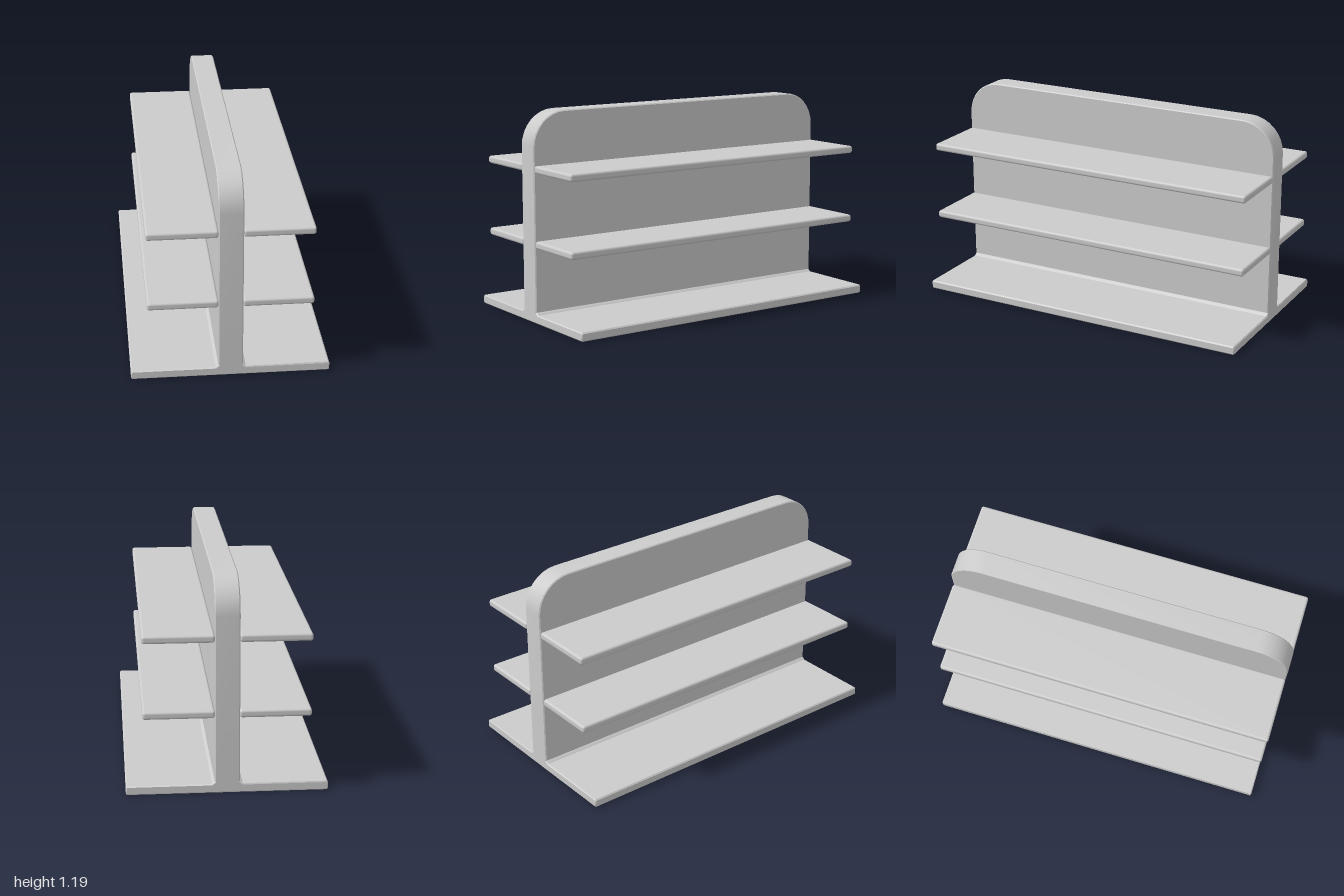
import * as THREE from 'three';
import { RoundedBoxGeometry } from 'three/addons/geometries/RoundedBoxGeometry.js';
import { toCreasedNormals } from 'three/addons/utils/BufferGeometryUtils.js';

const LENGTH = 2, SPINE = 0.068, TOP = 1.19, CORNER = 0.2, BEVEL = 0.006;
const material = new THREE.MeshStandardMaterial({ color: 0xcccccc });

// Extrudes a shape to a total depth, centred on z, with small edge bevels
function bevelled(shape, depth) {
  const geometry = new THREE.ExtrudeGeometry(shape, {
    depth: depth - 2 * BEVEL, bevelThickness: BEVEL, bevelSize: BEVEL,
    bevelOffset: -BEVEL, bevelSegments: 1, curveSegments: 4,
  });
  geometry.translate(0, 0, BEVEL - depth / 2);
  return toCreasedNormals(geometry, 0.6);
}

export function createModel() {
  const group = new THREE.Group();
  const add = (name, geometry, x = 0, y = 0) => {
    const mesh = new THREE.Mesh(geometry, material);
    mesh.name = name;
    mesh.position.set(x, y, 0);
    group.add(mesh);
  };

  // Base plate with softened edges and a small fillet up to the spine
  const half = [[0.543, 0], [0.55, 0.007], [0.55, 0.043], [0.543, 0.05],
    [0.084, 0.05], [0.068, 0.064], [0.05, 0.07]];
  const outline = [...half, ...half.map(([x, y]) => [-x, y]).reverse()];
  add('base', bevelled(new THREE.Shape(outline.map(([x, y]) => new THREE.Vector2(x, y))), LENGTH));

  // Central spine with rounded upper corners
  const end = LENGTH / 2;
  const side = new THREE.Shape();
  side.moveTo(-end, 0.01);
  side.lineTo(end, 0.01);
  side.lineTo(end, TOP - CORNER);
  side.absarc(end - CORNER, TOP - CORNER, CORNER, 0, Math.PI / 2);
  side.lineTo(CORNER - end, TOP);
  side.absarc(CORNER - end, TOP - CORNER, CORNER, Math.PI / 2, Math.PI);
  add('spine', bevelled(side, 2 * SPINE).rotateY(-Math.PI / 2));

  // Two shelves on each side
  const shelf = new RoundedBoxGeometry(0.388, 0.043, LENGTH, 3, 0.014);
  for (const [level, y] of [['lower', 0.449], ['upper', 0.871]]) {
    for (const [name, s] of [['Left', 1], ['Right', -1]]) {
      add(`${level}${name}Shelf`, shelf, s * 0.261, y);
    }
  }
  return group;
}
